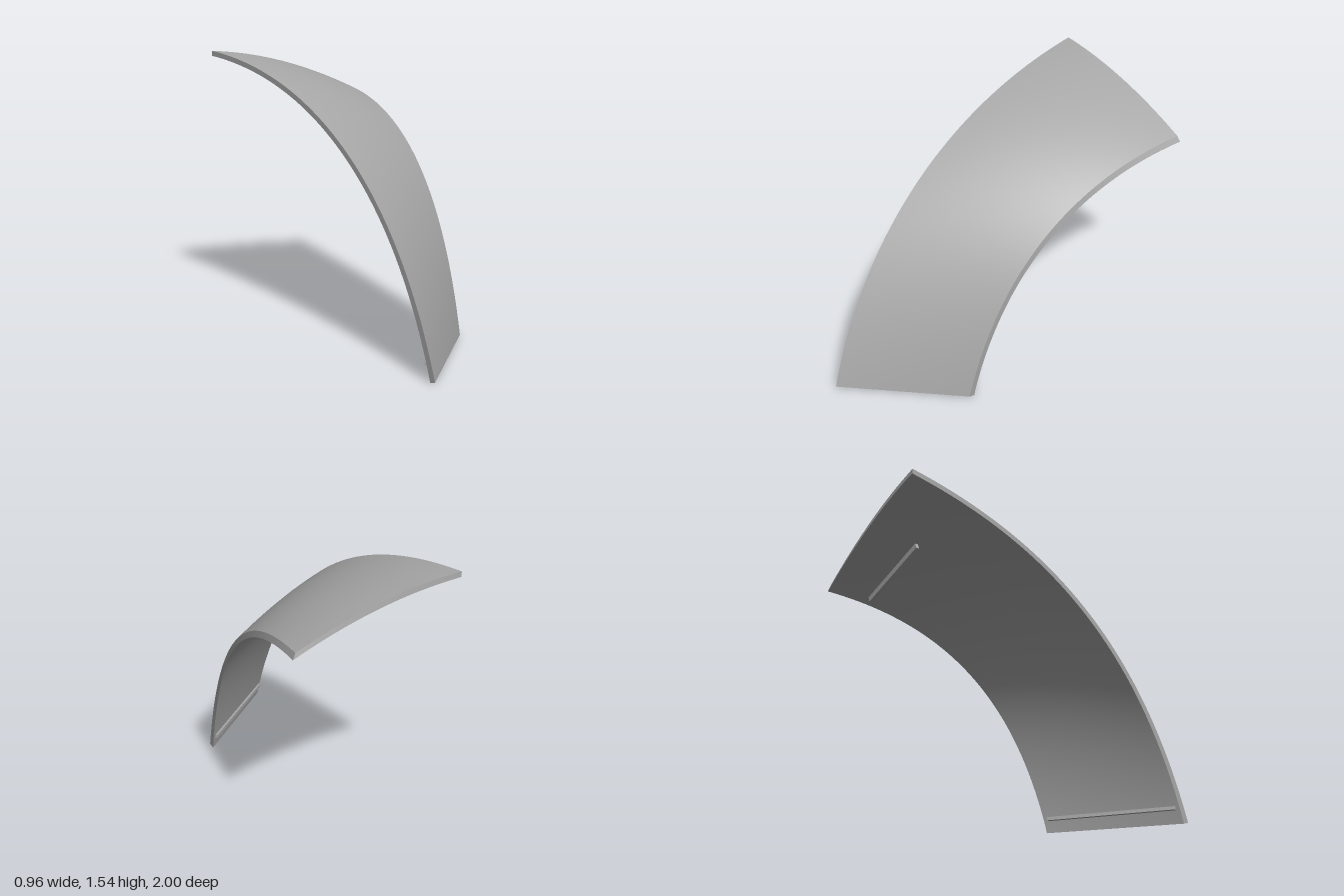
import * as THREE from 'three';

const THICKNESS = 0.03;
const V = (x, y, z) => new THREE.Vector3(x, y, z);

// Side edges of the panel, from the foot to the top
const leftEdge = new THREE.CubicBezierCurve3(
  V(-0.48, 0.012, 1), V(-0.48, 0.9, 0.72), V(-0.48, 1.47, 0.1), V(-0.48, 1.545, -1));
const rightEdge = new THREE.CubicBezierCurve3(
  V(0.15, 0.012, 0.52), V(0.194, 0.78, 0.33), V(0.288, 1.24, -0.1), V(0.458, 1.285, -0.89));

// Outer face: edges joined across, bowed upward towards the top
function outer(u, t) {
  const p = leftEdge.getPoint(t).lerp(rightEdge.getPoint(t), u);
  p.y += 0.19 * u * (1 - u) * t;
  return p;
}

// Point in the panel: u across, t upward, d from outer (0) to inner (1) face
function panelPoint(u, t, d) {
  const p = outer(u, t);
  if (d === 0) return p;
  const e = 0.002;
  const u0 = Math.max(0, u - e), u1 = Math.min(1, u + e);
  const t0 = Math.max(0, t - e), t1 = Math.min(1, t + e);
  const n = outer(u1, t).sub(outer(u0, t)).cross(outer(u, t1).sub(outer(u, t0))).normalize();
  const k = d * THICKNESS / (n.y * n.y + n.z * n.z);
  p.x += 0.018 * u * t * d;
  p.y = t === 0 ? 0.012 * (1 - d) : p.y - n.y * k;
  p.z = Math.max(-1, p.z - n.z * k);
  return p;
}

// Grid surface over p, q in 0..1
function sheet(fn, np, nq, flip) {
  const pos = [], idx = [];
  for (let j = 0; j <= nq; j++)
    for (let i = 0; i <= np; i++) pos.push(...fn(i / np, j / nq).toArray());
  for (let j = 0; j < nq; j++)
    for (let i = 0; i < np; i++) {
      const a = j * (np + 1) + i, b = a + 1, c = a + np + 1, d = c + 1;
      if (flip) idx.push(a, c, b, b, c, d);
      else idx.push(a, b, c, b, d, c);
    }
  const g = new THREE.BufferGeometry();
  g.setAttribute('position', new THREE.Float32BufferAttribute(pos, 3));
  g.setIndex(idx);
  g.computeVertexNormals();
  return g;
}

export function createModel() {
  const model = new THREE.Group();
  model.name = 'curvedPanel';
  const grey = new THREE.MeshStandardMaterial({ color: 0xa8a8a8 });
  grey.name = 'grey';

  const add = (name, geometry) => {
    const mesh = new THREE.Mesh(geometry, grey);
    mesh.name = name;
    model.add(mesh);
    return mesh;
  };

  // Faces and rims of the panel
  add('outerFace', sheet((u, t) => panelPoint(u, t, 0), 24, 48, false));
  add('innerFace', sheet((u, t) => panelPoint(u, t, 1), 24, 48, true));
  add('leftRim', sheet((t, d) => panelPoint(0, t, d), 48, 1, false));
  add('rightRim', sheet((t, d) => panelPoint(1, t, d), 48, 1, true));
  add('bottomRim', sheet((u, d) => panelPoint(u, 0, d), 24, 1, true));
  add('topRim', sheet((u, d) => panelPoint(u, 1, d), 24, 1, false));

  // Straight ribs on the inner face
  const rib = (name, a, b, w, h) => {
    const mesh = add(name, new THREE.BoxGeometry(w, h, a.distanceTo(b)));
    mesh.position.copy(a).lerp(b, 0.5);
    mesh.lookAt(b);
  };
  rib('lowerRib', panelPoint(0.03, 0.033, 1), panelPoint(0.97, 0.033, 1), 0.03, 0.02);
  rib('upperRib', V(-0.08, 1.385, -0.67), V(0.37, 1.23, -0.67), 0.02, 0.035);

  return model;
}
